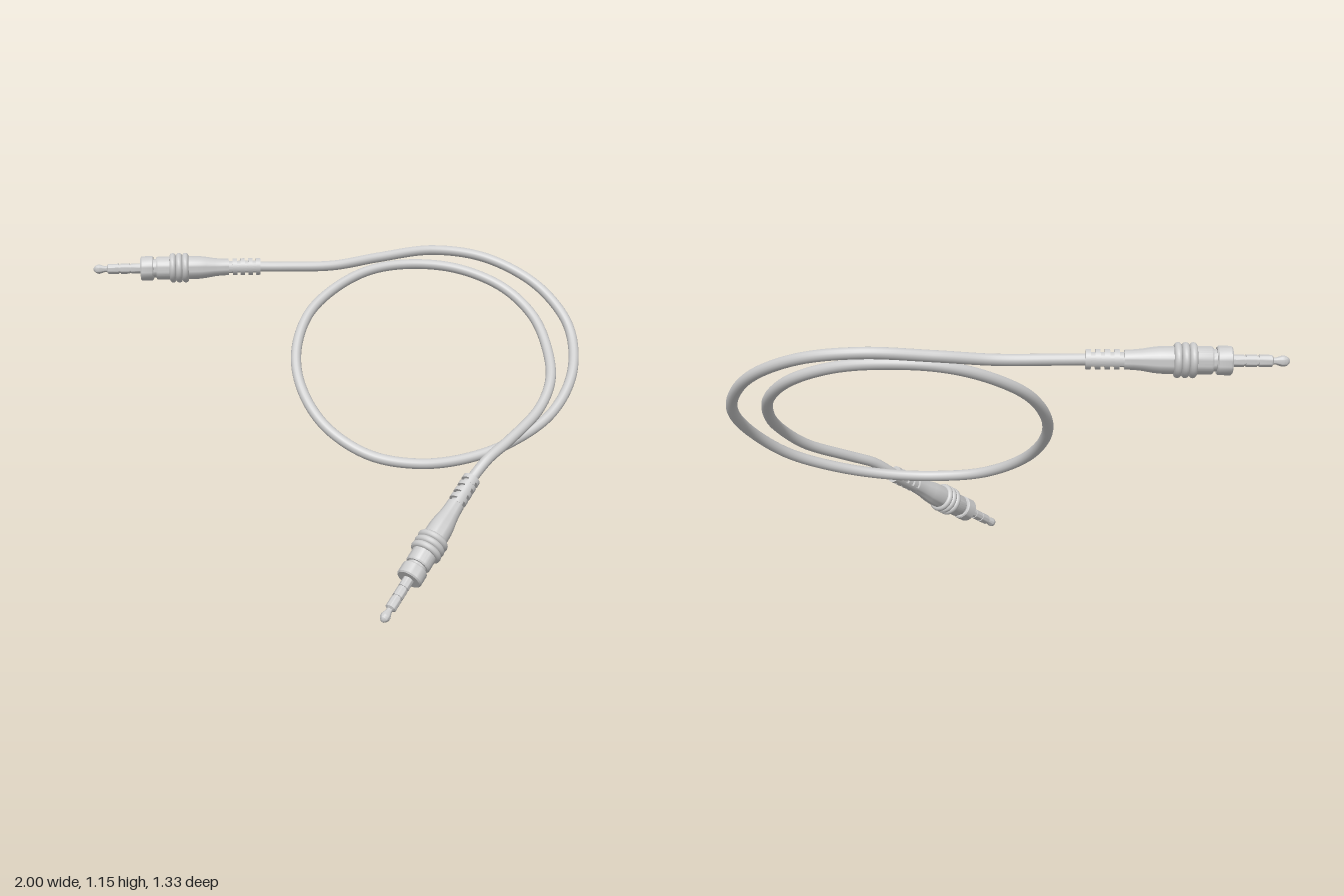
import * as THREE from 'three';
import { toCreasedNormals } from 'three/addons/utils/BufferGeometryUtils.js';

const material = new THREE.MeshStandardMaterial({ color: 0xcccccc, roughness: 0.6, side: THREE.DoubleSide });

function part(name, geometry) {
  const mesh = new THREE.Mesh(geometry, material);
  mesh.name = name;
  return mesh;
}

// Turned part: pairs of [distance from the tip, radius]
function turned(name, profile) {
  const points = profile.map(([s, r]) => new THREE.Vector2(r, s));
  return part(name, toCreasedNormals(new THREE.LatheGeometry(points, 32), 0.6));
}

// Arc-shaped block that joins two relief rings
function bridgeGeometry(inner, outer, width, depth) {
  const shape = new THREE.Shape();
  shape.absarc(0, 0, outer, -width / 2, width / 2, false);
  shape.absarc(0, 0, inner, width / 2, -width / 2, true);
  const geometry = new THREE.ExtrudeGeometry(shape, { depth, bevelEnabled: false, curveSegments: 6 });
  return geometry.rotateX(-Math.PI / 2);
}

function createPlug(name, tip, end) {
  const plug = new THREE.Group();
  plug.name = name;

  // Contact pin with rounded tip and insulating grooves
  plug.add(turned('contactPin', [
    [0, 0], [0.003, 0.008], [0.012, 0.016], [0.02, 0.019], [0.028, 0.019], [0.048, 0.012], [0.056, 0.012],
    [0.062, 0.021], [0.105, 0.021], [0.105, 0.018], [0.113, 0.018], [0.113, 0.021],
    [0.15, 0.021], [0.15, 0.018], [0.156, 0.018], [0.156, 0.021], [0.2, 0.021],
  ]));

  // Front collar, neck, grip body and tapered tail
  plug.add(turned('gripBody', [
    [0.195, 0.0], [0.195, 0.045], [0.2, 0.05], [0.243, 0.05], [0.248, 0.046], [0.248, 0.038],
    [0.26, 0.038], [0.26, 0.044], [0.266, 0.048], [0.4, 0.048], [0.44, 0.047], [0.465, 0.044],
    [0.5, 0.038], [0.53, 0.035], [0.56, 0.034], [0.56, 0.02],
  ]));

  // Three raised grip rings
  for (let i = 0; i < 3; i++) {
    const ring = part('gripRing', new THREE.TorusGeometry(0.048, 0.0135, 12, 32).rotateX(Math.PI / 2));
    ring.position.y = 0.328 + i * 0.026;
    plug.add(ring);
  }

  // Slotted strain relief: core, rings and bridges
  const core = part('reliefCore', new THREE.CylinderGeometry(0.025, 0.025, 0.13, 24));
  core.position.y = 0.622;
  plug.add(core);
  const bridge = bridgeGeometry(0.022, 0.035, 0.9, 0.016);
  for (let i = 0; i < 4; i++) {
    const ring = part('reliefRing', new THREE.CylinderGeometry(0.035, 0.035, 0.018, 32));
    ring.position.y = 0.585 + i * 0.0325;
    plug.add(ring);
    for (const angle of [Math.PI / 2, -Math.PI / 2]) {
      const block = part('reliefBridge', bridge);
      block.position.y = 0.56 + i * 0.0325;
      block.rotation.y = angle;
      plug.add(block);
    }
  }

  plug.position.copy(tip);
  plug.quaternion.setFromUnitVectors(new THREE.Vector3(0, 1, 0), end.clone().sub(tip).normalize());
  return plug;
}

export function createModel() {
  const model = new THREE.Group();
  model.name = 'audioCable';

  // Cable path: outer sweep, slanted loop, then down to the second plug
  const path = [
    [-0.36, 1.1, -0.54], [-0.2, 1.097, -0.54], [0, 1.097, -0.55], [0.2, 1.12, -0.6], [0.44, 1.14, -0.645],
    [0.66, 1.11, -0.615], [0.85, 1.02, -0.51], [0.95, 0.91, -0.39], [0.977, 0.82, -0.3],
    [0.94, 0.69, -0.15], [0.83, 0.57, -0.03], [0.65, 0.485, 0.06], [0.46, 0.44, 0.113],
    [0.27, 0.43, 0.13], [0.08, 0.46, 0.095], [-0.08, 0.55, 0.0], [-0.165, 0.67, -0.13],
    [-0.18, 0.79, -0.255], [-0.12, 0.92, -0.39], [0.0, 1.01, -0.49], [0.16, 1.072, -0.565],
    [0.34, 1.09, -0.59], [0.54, 1.07, -0.565], [0.72, 1.0, -0.49], [0.825, 0.9, -0.375],
    [0.857, 0.79, -0.24], [0.84, 0.69, -0.1], [0.77, 0.6, 0.005], [0.62, 0.51, 0.13],
    [0.53, 0.462, 0.19], [0.455, 0.395, 0.24], [0.42, 0.362, 0.277],
  ].map((p) => new THREE.Vector3(...p));
  const curve = new THREE.CatmullRomCurve3(path);
  model.add(part('cable', new THREE.TubeGeometry(curve, 260, 0.021, 16)));

  // Plugs at both ends
  model.add(createPlug('upperPlug', new THREE.Vector3(-1, 1.1, -0.54), new THREE.Vector3(-0.31, 1.1, -0.54)));
  model.add(createPlug('lowerPlug', new THREE.Vector3(0.06, 0.015, 0.655), new THREE.Vector3(0.455, 0.395, 0.24)));
  return model;
}
